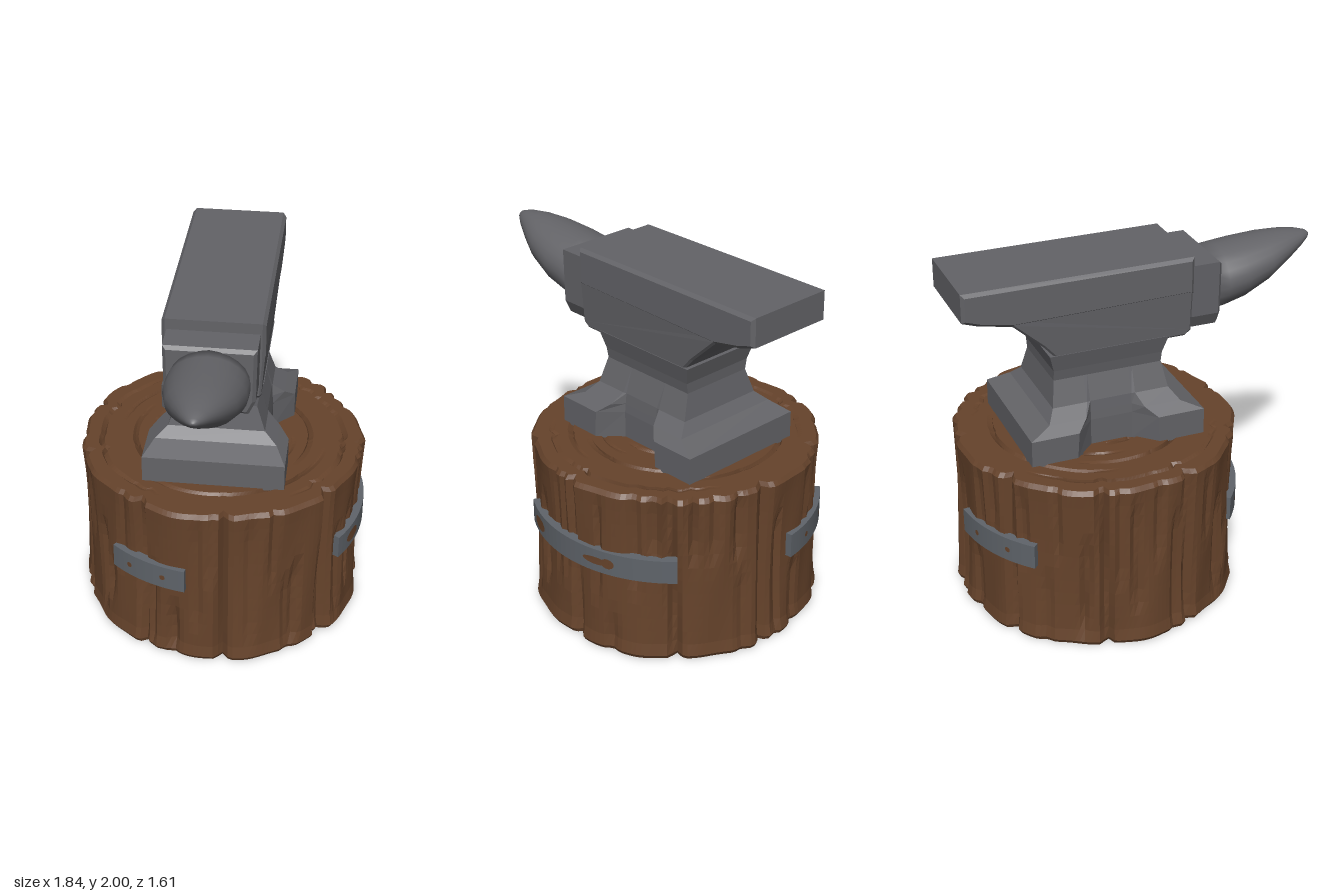
import * as THREE from 'three';

const wood = new THREE.MeshStandardMaterial({ color: 0x66432b });
wood.name = 'wood';
const iron = new THREE.MeshStandardMaterial({ color: 0x636367 });
iron.name = 'iron';
const bandIron = new THREE.MeshStandardMaterial({ color: 0x5f646a });
bandIron.name = 'band iron';

let seed = 11;
const rand = () => (seed = (seed * 16807) % 2147483647) / 2147483647;
const rad = THREE.MathUtils.degToRad;

function mesh(name, geometry, material) {
  const m = new THREE.Mesh(geometry, material);
  m.name = name;
  return m;
}

// Skin a stack of equal-length rings and close both ends with fans
function loft(rings, flat) {
  const n = rings[0].length, pos = rings.flat(2), idx = [];
  for (let j = 0; j < rings.length - 1; j++) {
    for (let i = 0; i < n; i++) {
      const k = (i + 1) % n, a = j * n + i, b = j * n + k;
      idx.push(a, b, b + n, a, b + n, a + n);
    }
  }
  [rings[0], rings[rings.length - 1]].forEach((ring, end) => {
    const c = pos.length / 3, o = end ? (rings.length - 1) * n : 0;
    for (let d = 0; d < 3; d++) pos.push(ring.reduce((s, p) => s + p[d], 0) / n);
    for (let i = 0; i < n; i++) {
      const k = (i + 1) % n;
      idx.push(c, o + (end ? i : k), o + (end ? k : i));
    }
  });
  let g = new THREE.BufferGeometry();
  g.setAttribute('position', new THREE.Float32BufferAttribute(pos, 3));
  g.setIndex(idx);
  if (flat) g = g.toNonIndexed();
  g.computeVertexNormals();
  return g;
}

// Bevelled extrusion, centred on its depth
function slab(points, depth, bevel) {
  const shape = new THREE.Shape(points.map(p => new THREE.Vector2(...p)));
  return new THREE.ExtrudeGeometry(shape, {
    depth: depth - 2 * bevel, bevelSize: bevel, bevelThickness: bevel, bevelOffset: -bevel, bevelSegments: 1,
  }).translate(0, 0, bevel - depth / 2);
}

// Stump: bark split by long cracks, growth rings cut in the top
function stumpGeometry() {
  const N = 180, cracks = [];
  for (let i = 0; i < 46; i++) {
    const big = i % 5 === 0;
    const y0 = big ? -0.3 : rand() * 0.8 - 0.2;
    cracks.push({
      az: (i + rand() * 0.8) / 46 * Math.PI * 2, w: big ? 0.05 : 0.035 + rand() * 0.03,
      depth: big ? 0.055 : 0.018 + rand() * 0.025, slant: (rand() - 0.5) * 0.12,
      y0, y1: big ? 1.3 : y0 + 0.4 + rand() * 0.6,
    });
  }
  const wrap = a => Math.atan2(Math.sin(a), Math.cos(a));
  const cut = (az, y) => {
    let d = 0;
    for (const c of cracks) {
      const side = Math.max(0, 1 - Math.abs(wrap(az - c.az - c.slant * (y - 0.5))) / c.w);
      const span = THREE.MathUtils.clamp(Math.min(y - c.y0, c.y1 - y) * 6, 0, 1);
      d = Math.max(d, c.depth * side * span);
    }
    return d;
  };
  const wave = (az, y) => 0.007 * Math.sin(7 * az + 3 * y) + 0.005 * Math.sin(17 * az - 4 * y);
  const ring = (y, r, keep = 1, drop = 0) => Array.from({ length: N }, (_, i) => {
    const az = i / N * Math.PI * 2;
    const rr = r + keep * (wave(az, y) - cut(az, y)) + drop * 0.7 * Math.sin(3 * az + r * 20);
    const groove = drop * Math.max(0, 0.5 + Math.sin(2 * az + r * 37));
    return [rr * Math.sin(az), y - groove, rr * Math.cos(az)];
  });
  const rings = [ring(0.005, 0.785), ring(0.03, 0.8)];
  for (let y = 0.1; y < 0.95; y += 0.08) rings.push(ring(y, 0.783 + 0.04 * (y - 0.5) ** 2));
  rings.push(ring(0.975, 0.793), ring(1, 0.775));
  for (const r of [0.68, 0.58, 0.49, 0.4, 0.3, 0.2]) {
    const keep = r > 0.6 ? 0.5 : 0.1;
    rings.push(ring(1, r + 0.02, keep), ring(1, r, keep, 0.016), ring(1, r - 0.012, keep));
  }
  return loft(rings, true);
}

// Curved iron strap between two azimuths, with small blotches on its face
function strap(name, from, to, y, height, spots) {
  const g = new THREE.Group();
  g.name = name;
  const a = rad(from - 90), b = rad(to - 90), R = 0.812;
  const shape = new THREE.Shape();
  shape.absarc(0, 0, R, a, b, false);
  shape.absarc(0, 0, 0.76, b, a, true);
  const geo = new THREE.ExtrudeGeometry(shape, { depth: height, bevelEnabled: false, curveSegments: 14 });
  g.add(mesh('strapPlate', geo.rotateX(-Math.PI / 2).translate(0, y, 0), bandIron));
  for (const [az, w, h] of spots) {
    const spot = new THREE.CircleGeometry(1, 14), p = spot.attributes.position;
    for (let i = 0; i < p.count; i++) {
      const t = rad(az) + p.getX(i) * w / R, r = R + 0.003;
      p.setXYZ(i, r * Math.sin(t), y + height * 0.5 + p.getY(i) * h, r * Math.cos(t));
    }
    spot.computeVertexNormals();
    g.add(mesh('strapSpot', spot, wood));
  }
  return g;
}

function anvil() {
  const g = new THREE.Group();
  g.name = 'anvil';

  // Feet and waist, with an arched recess on both long sides: y, a, b, recess edge, recess floor
  const rows = [
    [0.99, 0.5, 0.385, 0.24, 0.27], [1.15, 0.5, 0.385, 0.23, 0.27], [1.2, 0.38, 0.33, 0.17, 0.265],
    [1.26, 0.335, 0.262, 0.14, 0.258], [1.4, 0.31, 0.215, 0.14, 0.215], [1.46, 0.312, 0.225, 0.14, 0.225],
    [1.56, 0.34, 0.25, 0.14, 0.25],
  ];
  g.add(mesh('waistAndFeet', loft(rows.map(([y, a, b, w, n]) => [
    [-0.12, n], [0.12, n], [w, b], [a, b], [a, -b], [w, -b],
    [0.12, -n], [-0.12, -n], [-w, -b], [-a, -b], [-a, b], [-w, b],
  ].map(([x, z]) => [x, y, z])), true), iron));

  // Face slab with heel, and the tapering body below it
  const face = slab([[-0.48, 1.79], [0.54, 1.775], [0.72, 1.81], [0.81, 1.84], [0.81, 2], [-0.48, 2]], 0.534, 0.018);
  const body = slab([[-0.475, 1.57], [-0.44, 1.54], [0.3, 1.54], [0.37, 1.62], [0.54, 1.775], [0.6, 1.83], [-0.475, 1.83]], 0.53, 0.012);
  const p = body.attributes.position;
  for (let i = 0; i < p.count; i++) p.setZ(i, p.getZ(i) * (1 - 0.3 * Math.max(0, 1.8 - p.getY(i))));
  body.computeVertexNormals();
  g.add(mesh('faceAndHeel', face, iron), mesh('body', body, iron));

  // Step between face and horn
  const neck = slab([[-0.2, 1.565], [0.2, 1.565], [0.235, 1.64], [0.24, 1.94], [-0.24, 1.94], [-0.235, 1.64]], 0.2, 0.018);
  g.add(mesh('neck', neck.rotateY(-Math.PI / 2).translate(-0.555, 0, 0), iron));

  // Horn: x, bottom, top, half width
  const horn = [
    [-0.63, 1.57, 1.93, 0.205], [-0.72, 1.59, 1.937, 0.215], [-0.84, 1.625, 1.948, 0.212], [-1.0, 1.7, 1.96, 0.178],
    [-1.12, 1.777, 1.962, 0.125], [-1.22, 1.845, 1.952, 0.072], [-1.275, 1.887, 1.937, 0.034], [-1.292, 1.905, 1.922, 0.012],
  ];
  g.add(mesh('horn', loft(horn.map(([x, lo, hi, w]) => Array.from({ length: 24 }, (_, i) => {
    const t = i / 24 * Math.PI * 2;
    return [x, (lo + hi) / 2 + (hi - lo) / 2 * Math.sin(t), w * Math.cos(t)];
  })), false), iron));

  g.rotation.y = 0.653;
  return g;
}

export function createModel() {
  const model = new THREE.Group();
  model.name = 'anvilOnStump';
  const set = new THREE.Group();
  set.name = 'stumpAndAnvil';
  set.position.x = 0.11;
  set.add(
    mesh('stump', stumpGeometry(), wood),
    strap('frontStrap', 6, 84, 0.51, 0.135, [[17, 0.07, 0.038], [52, 0.085, 0.022], [57, 0.04, 0.03]]),
    strap('rightStrap', 266, 299, 0.49, 0.14, [[275, 0.016, 0.016], [290, 0.016, 0.016]]),
    strap('backStrap', 133, 173, 0.49, 0.14, [[144, 0.016, 0.016], [161, 0.016, 0.016]]),
    anvil(),
  );
  model.add(set);
  return model;
}
